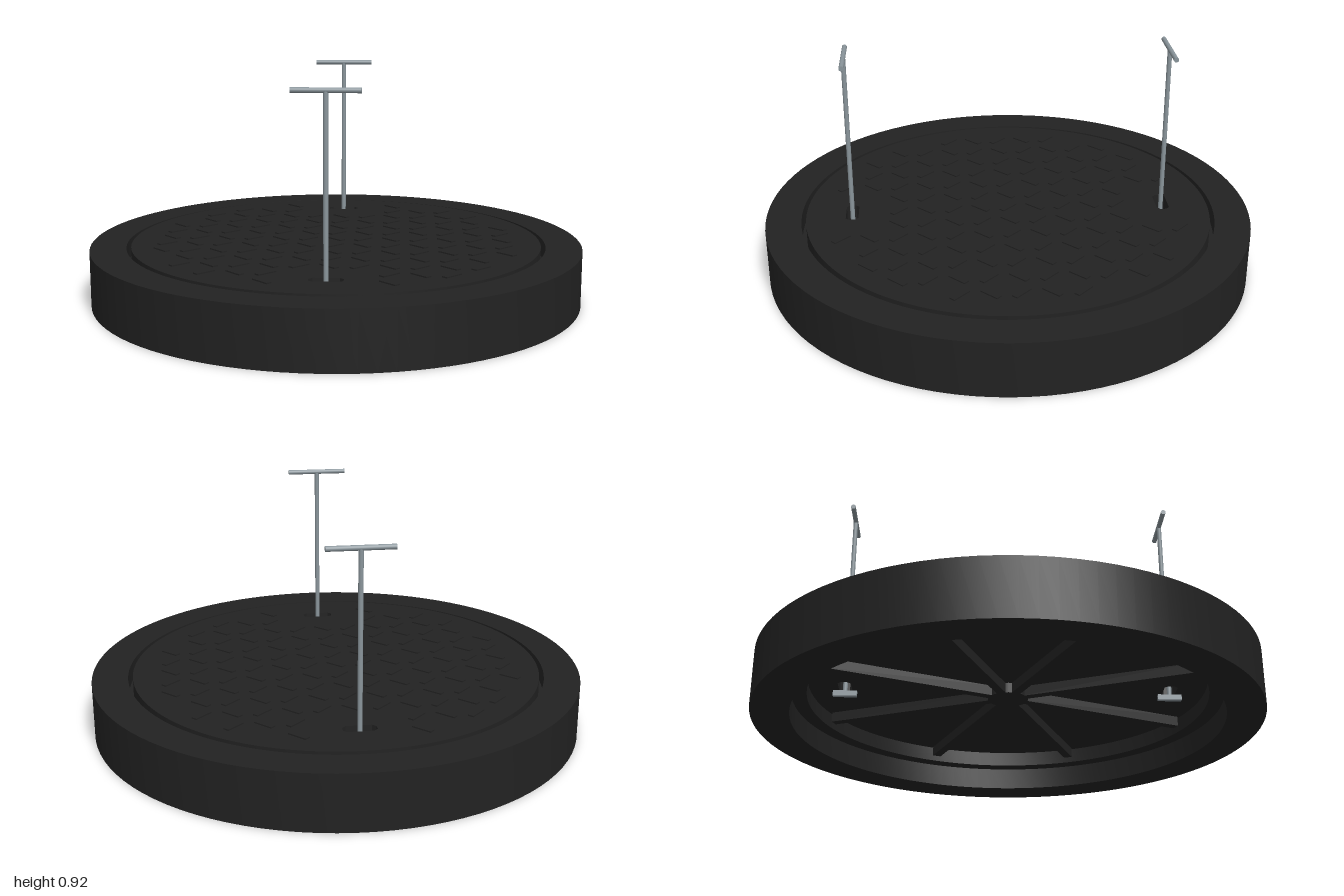
import * as THREE from 'three';
import { toCreasedNormals } from 'three/addons/utils/BufferGeometryUtils.js';

const KEY_Z = 0.647;

export function createModel() {
  const model = new THREE.Group();
  model.name = 'accessCover';
  const iron = new THREE.MeshStandardMaterial({ color: 0x222222 });
  iron.name = 'castIron';
  const steel = new THREE.MeshStandardMaterial({ color: 0x8a959b });
  steel.name = 'keySteel';

  const add = (parent, name, geometry, material, x = 0, y = 0, z = 0) => {
    const mesh = new THREE.Mesh(geometry, material);
    mesh.name = name;
    mesh.position.set(x, y, z);
    parent.add(mesh);
    return mesh;
  };

  // Frame: outer ring with an inner ledge the lid rests on
  const profile = [
    [0.85, 0], [1, 0], [1, 0.225], [0.855, 0.225], [0.855, 0.15],
    [0.79, 0.15], [0.79, 0.09], [0.85, 0.09], [0.85, 0],
  ].map(([r, y]) => new THREE.Vector2(r, y));
  add(model, 'frame', toCreasedNormals(new THREE.LatheGeometry(profile, 96), 0.6), iron);

  // Lid: thick disc with two key slots cut through it
  const lid = new THREE.Group();
  lid.name = 'lid';
  model.add(lid);
  const disc = new THREE.Shape();
  disc.absarc(0, 0, 0.836, 0, Math.PI * 2);
  for (const side of [-1, 1]) {
    const slot = [
      [-0.064, -0.012], [-0.05, -0.026], [0.05, -0.026], [0.064, -0.012],
      [0.064, 0.012], [0.05, 0.026], [-0.05, 0.026], [-0.064, 0.012],
    ].map(([x, y]) => new THREE.Vector2(x, y + side * KEY_Z));
    disc.holes.push(new THREE.Path(slot));
  }
  const plate = new THREE.ExtrudeGeometry(disc, { depth: 0.078, bevelEnabled: false, curveSegments: 96 });
  plate.rotateX(-Math.PI / 2);
  add(lid, 'lidPlate', toCreasedNormals(plate, 0.6), iron, 0, 0.15, 0);

  // Raised tread bars on a grid, alternating in direction
  const barShape = new THREE.BoxGeometry(0.082, 0.007, 0.024);
  const pitch = 0.1137;
  for (let i = -6; i <= 6; i++) {
    for (let j = -6; j <= 6; j++) {
      const nearSlot = Math.abs(i) < 2 && Math.abs(j) > 4;
      if (Math.hypot(i, j) * pitch > 0.745 || nearSlot) continue;
      const bar = add(lid, 'treadBar', barShape, iron, i * pitch, 0.2295, j * pitch);
      bar.rotation.y = ((i + j) % 2 === 0 ? -1 : 1) * Math.PI / 4;
    }
  }

  // Underside: eight stiffening ribs meeting at a small hub
  const ribShape = new THREE.BoxGeometry(0.74, 0.042, 0.036).translate(0.41, 0, 0);
  for (let k = 0; k < 8; k++) {
    add(lid, 'rib', ribShape, iron, 0, 0.131, 0).rotation.y = (k + 0.5) * Math.PI / 4;
  }
  add(lid, 'hub', new THREE.CylinderGeometry(0.08, 0.08, 0.042, 24), iron, 0, 0.131, 0);

  // Lifting keys: T handle on a rod, with a toe turned across the slot
  for (const side of [-1, 1]) {
    const key = new THREE.Group();
    key.name = side > 0 ? 'frontLiftingKey' : 'backLiftingKey';
    key.position.z = side * KEY_Z;
    model.add(key);
    add(key, 'keyRod', new THREE.CylinderGeometry(0.0095, 0.0095, 0.79, 16), steel, 0, 0.515, 0);
    add(key, 'keyHandle', new THREE.CylinderGeometry(0.01, 0.01, 0.252, 16).rotateZ(Math.PI / 2), steel, 0, 0.91, 0);
    add(key, 'keyToe', new THREE.BoxGeometry(0.02, 0.022, 0.095), steel, 0, 0.126, 0);
  }
  return model;
}
